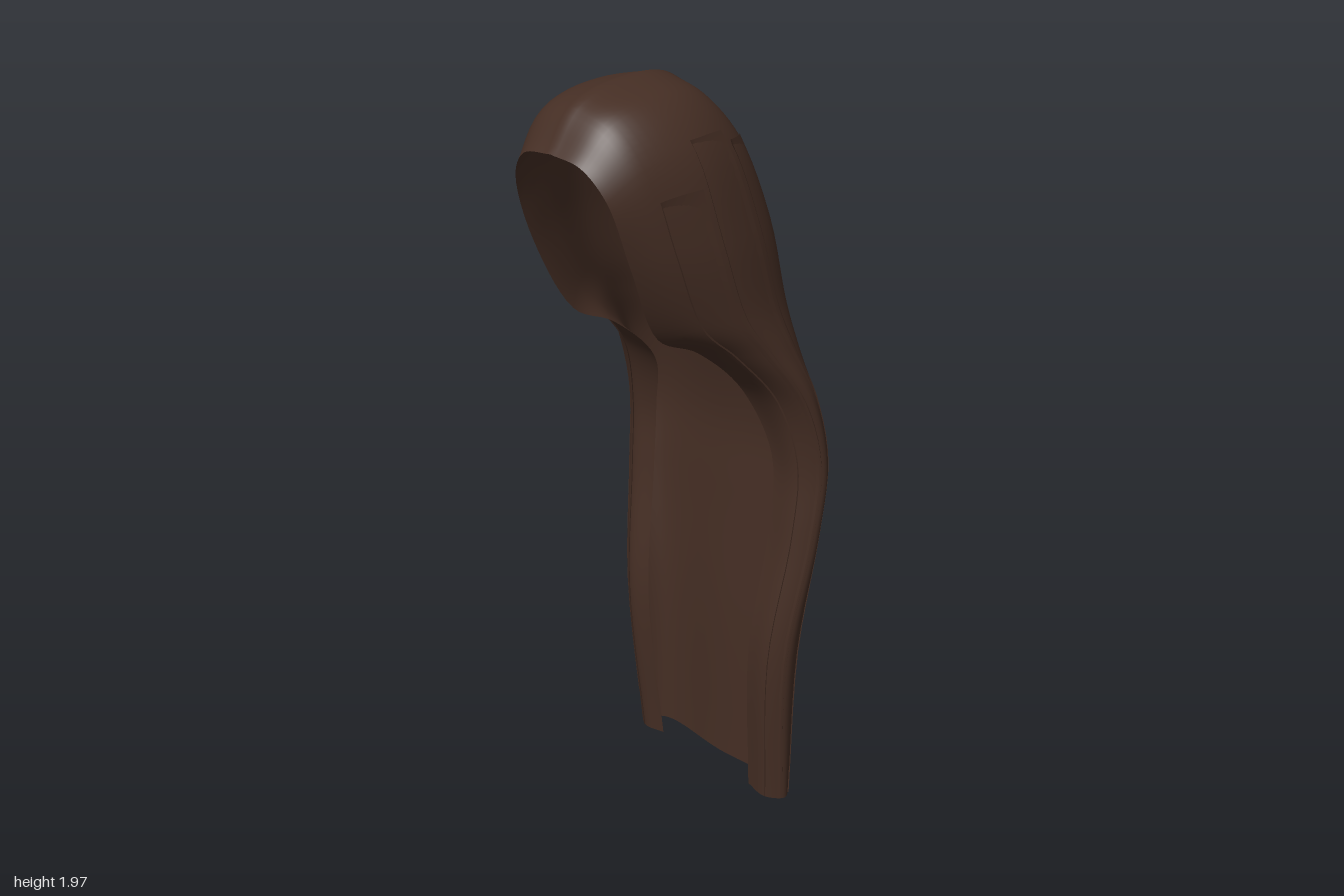
import * as THREE from 'three';
import { mergeVertices } from 'three/addons/utils/BufferGeometryUtils.js';

const V = (x, y, z) => new THREE.Vector3(x, y, z);
const rail = points => new THREE.CatmullRomCurve3(points.map(p => V(...p)));
const mix = THREE.MathUtils.lerp;

// Rails of the left half, from the parting down to the tips
const frontEdge = rail([
  [0, 1.86, .31], [.09, 1.845, .305], [.145, 1.78, .285], [.16, 1.62, .23], [.14, 1.43, .13], [.14, 1.36, 0],
  [.15, 1.22, -.15], [.2, 1.05, -.205], [.205, .85, -.2], [.185, .5, -.16], [.165, .025, -.2],
]);
const side = rail([
  [0, 1.99, .06], [.12, 1.955, .06], [.2, 1.86, .04], [.25, 1.66, 0], [.27, 1.47, -.06], [.29, 1.37, -.12],
  [.323, 1.23, -.2], [.335, 1.05, -.25], [.328, .85, -.24], [.296, .5, -.2], [.273, .02, -.23],
]);
const backCorner = rail([
  [0, 1.98, -.03], [.09, 1.94, -.06], [.14, 1.85, -.12], [.19, 1.66, -.178], [.22, 1.46, -.21], [.24, 1.36, -.23],
  [.26, 1.23, -.265], [.28, 1.05, -.295], [.27, .85, -.29], [.245, .5, -.275], [.235, .02, -.272],
]);

// Cross-section at t; u runs from the right front edge (0) round the back (0.5) to the left one (1)
function section(t, inside) {
  const e = frontEdge.getPoint(t), s = side.getPoint(t), k = backCorner.getPoint(t);
  // the cheek bulges between edge and side, the back is round on the head and flat below
  const cheek = V(mix(e.x, s.x, .6), mix(e.y, s.y, .75), mix(e.z, s.z, .4) + .02);
  const back = V(0, k.y - .03 * Math.max(0, 1 - t / .3), k.z + .008 - .065 * Math.max(0, 1 - t / .6));
  if (inside) {
    const middle = (e.z + back.z) / 2;
    const drop = .035 * Math.max(0, 1 - t * 4);
    for (const p of [cheek, s, k, back]) p.set(p.x * .91, p.y - drop, mix(p.z, middle, .15));
  }
  const left = [e, cheek, s, k];
  const right = left.map(q => V(-q.x, q.y, q.z));
  return new THREE.CatmullRomCurve3([...right, back, ...left.reverse()]);
}

// Grid geometry from a list of rows of points
function sheet(rows) {
  const n = rows[0].length, index = [];
  for (let i = 0; i < rows.length - 1; i++) {
    for (let j = 0; j < n - 1; j++) {
      const a = i * n + j, b = a + n;
      index.push(a, b, a + 1, a + 1, b, b + 1);
    }
  }
  const grid = new THREE.BufferGeometry().setFromPoints(rows.flat());
  grid.setIndex(index);
  const merged = mergeVertices(grid, 1e-4);
  merged.computeVertexNormals();
  return merged;
}

const ROWS = 70, COLS = 56;
const shell = inside => Array.from({ length: ROWS + 1 }, (_, i) => {
  const c = section(i / ROWS, inside);
  return Array.from({ length: COLS + 1 }, (_, j) => c.getPoint(j / COLS));
});

// Raised lock lying on the outside between two places on the cross-section
function lock(u0, u1, t0, t1, height) {
  const rows = [], n = 10, m = 40;
  for (let i = 0; i <= m; i++) {
    const t = mix(t0, t1, i / m);
    const c = section(t), next = section(Math.min(t + .01, 1)), prev = section(t - .01);
    const row = [];
    for (let j = 0; j <= n; j++) {
      const u = mix(u0, u1, j / n);
      const p = c.getPoint(u);
      const along = next.getPoint(u).sub(prev.getPoint(u));
      const out = along.cross(c.getTangent(u)).normalize();
      // one edge and the root sink under the surface, then it thins out
      const rise = j === 0 || i === 0 ? -.003 : height * (1 - j / n) - .001;
      row.push(p.addScaledVector(out, rise));
    }
    rows.push(row);
  }
  return rows;
}

export function createModel() {
  const group = new THREE.Group();
  group.name = 'longHair';
  const brown = new THREE.MeshStandardMaterial({ color: 0x452e24, side: THREE.DoubleSide });
  brown.name = 'dark brown hair';
  const add = (name, rows) => {
    const mesh = new THREE.Mesh(sheet(rows), brown);
    mesh.name = name;
    group.add(mesh);
  };

  // Outer and inner hair surfaces, closed along the cut tips
  const outer = shell(false), inner = shell(true);
  add('outerHair', outer);
  add('innerHair', inner);
  add('hairTips', [outer[ROWS], inner[ROWS]]);

  // Overlapping locks down the sides and back, mirrored
  const locks = [
    [.13, .21, .24, 1, .007], [.22, .3, .18, .98, .008],
    [.31, .38, .2, 1, .008], [.4, .47, .24, .97, .007],
  ];
  for (const [u0, u1, t0, t1, height] of locks) {
    const rows = lock(u0, u1, t0, t1, height);
    add('rightLock', rows);
    add('leftLock', rows.map(r => r.map(p => V(-p.x, p.y, p.z)).reverse()));
  }
  return group;
}
